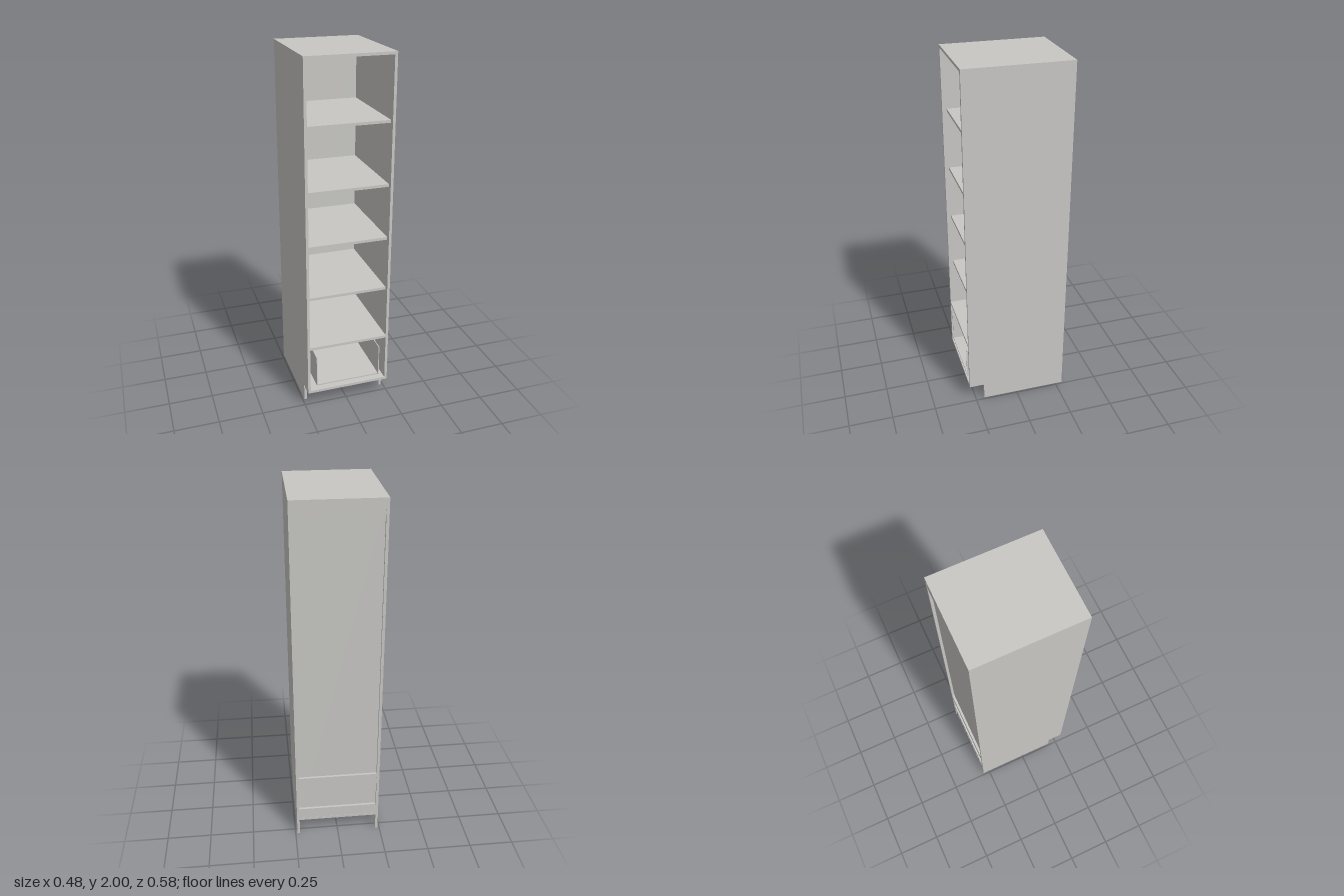
import * as THREE from 'three';

export function createModel() {
  const model = new THREE.Group();
  model.name = 'tallCabinet';
  const board = new THREE.MeshStandardMaterial({ color: 0xc8c7c4 });
  board.name = 'warm grey board';

  const W = 0.24, T = 0.015, BACK = -0.29, FRONT = 0.287;
  const IN = W - T;            // inner half width
  const PANEL = BACK + T;      // rear face of the recessed back panel
  const INNER = PANEL + 0.006; // front face of the back panel

  // Box given by its limits on each axis
  function slab(name, x0, x1, y0, y1, z0, z1, parent = model) {
    const mesh = new THREE.Mesh(new THREE.BoxGeometry(x1 - x0, y1 - y0, z1 - z0), board);
    mesh.position.set((x0 + x1) / 2, (y0 + y1) / 2, (z0 + z1) / 2);
    mesh.name = name;
    parent.add(mesh);
  }

  // Side panels with a toe-kick notch at the lower front
  const profile = new THREE.Shape([
    [BACK, 0], [0.2, 0], [0.2, 0.1], [FRONT, 0.1], [FRONT, 2], [BACK, 2],
  ].map(([z, y]) => new THREE.Vector2(-z, y)));
  const sideGeometry = new THREE.ExtrudeGeometry(profile, { depth: T, bevelEnabled: false });
  sideGeometry.rotateY(Math.PI / 2);
  for (const [name, x] of [['leftSide', IN], ['rightSide', -W]]) {
    const side = new THREE.Mesh(sideGeometry, board);
    side.position.x = x;
    side.name = name;
    model.add(side);
  }

  // Top, bottom and the fixed shelf above the drawer
  slab('top', -IN, IN, 2 - T, 2, BACK, FRONT);
  slab('bottom', -IN, IN, 0.1, 0.1 + T, BACK, FRONT);
  slab('fixedShelf', -IN, IN, 0.385, 0.4, INNER, FRONT);

  // Adjustable shelves, set back from the front edge
  for (const y of [0.685, 0.99, 1.295, 1.64]) {
    slab('shelf', -IN, IN, y, y + T, INNER, FRONT - 0.025);
  }

  // Recessed back panel with three rails behind it
  slab('backPanel', -IN, IN, 0.1 + T, 2 - T, PANEL, INNER);
  for (const y of [0.115, 0.335, 1.92]) {
    slab('backRail', -IN, IN, y, y + 0.065, BACK + 0.001, PANEL);
  }

  // Open-fronted inner drawer
  const drawer = new THREE.Group();
  drawer.name = 'drawer';
  model.add(drawer);
  const D = 0.188, d = 0.005, rear = -0.23;
  slab('drawerFloor', -D + d, D - d, 0.145, 0.152, rear, FRONT, drawer);
  slab('drawerBack', -D + d, D - d, 0.152, 0.33, rear, rear + 0.01, drawer);
  slab('drawerLeftWall', D - d, D, 0.145, 0.33, rear, FRONT + 0.002, drawer);
  slab('drawerRightWall', -D, -D + d, 0.145, 0.33, rear, FRONT, drawer);

  return model;
}
